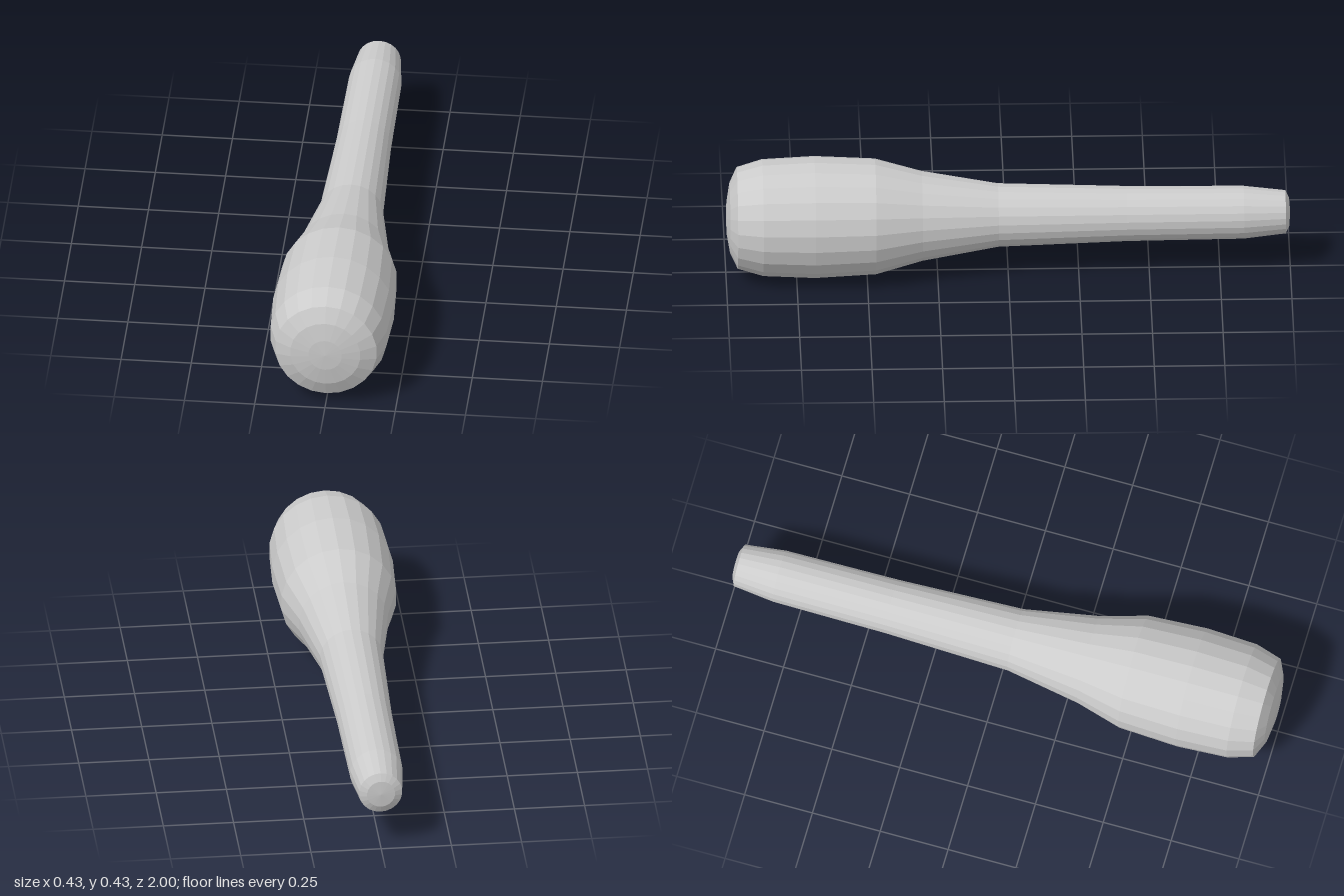
import * as THREE from 'three';

const SIDES = 22;
const AXIS_Y = 0.218;

// [radius, z] profiles, running from the back to the front
const PROFILES = {
  gripEnd: [[0, -1], [0.05, -0.996], [0.077, -0.983]],
  handle: [[0.077, -0.983], [0.094, -0.835], [0.098, -0.42], [0.113, 0.035]],
  head: [
    [0.113, 0.035], [0.16, 0.305], [0.206, 0.47], [0.217, 0.685],
    [0.208, 0.87], [0.181, 0.96],
  ],
  headEnd: [[0.181, 0.96], [0.125, 0.986], [0.06, 0.997], [0, 1]],
};

export function createModel() {
  const group = new THREE.Group();
  group.name = 'club';
  const material = new THREE.MeshStandardMaterial({ color: 0xcccccc, flatShading: true });

  // Each part is a faceted turned section laid along z
  for (const [name, profile] of Object.entries(PROFILES)) {
    const points = profile.map(([r, z]) => new THREE.Vector2(r, z));
    const geometry = new THREE.LatheGeometry(points, SIDES);
    geometry.rotateX(Math.PI / 2);
    const mesh = new THREE.Mesh(geometry, material);
    mesh.name = name;
    mesh.position.y = AXIS_Y;
    group.add(mesh);
  }
  return group;
}
